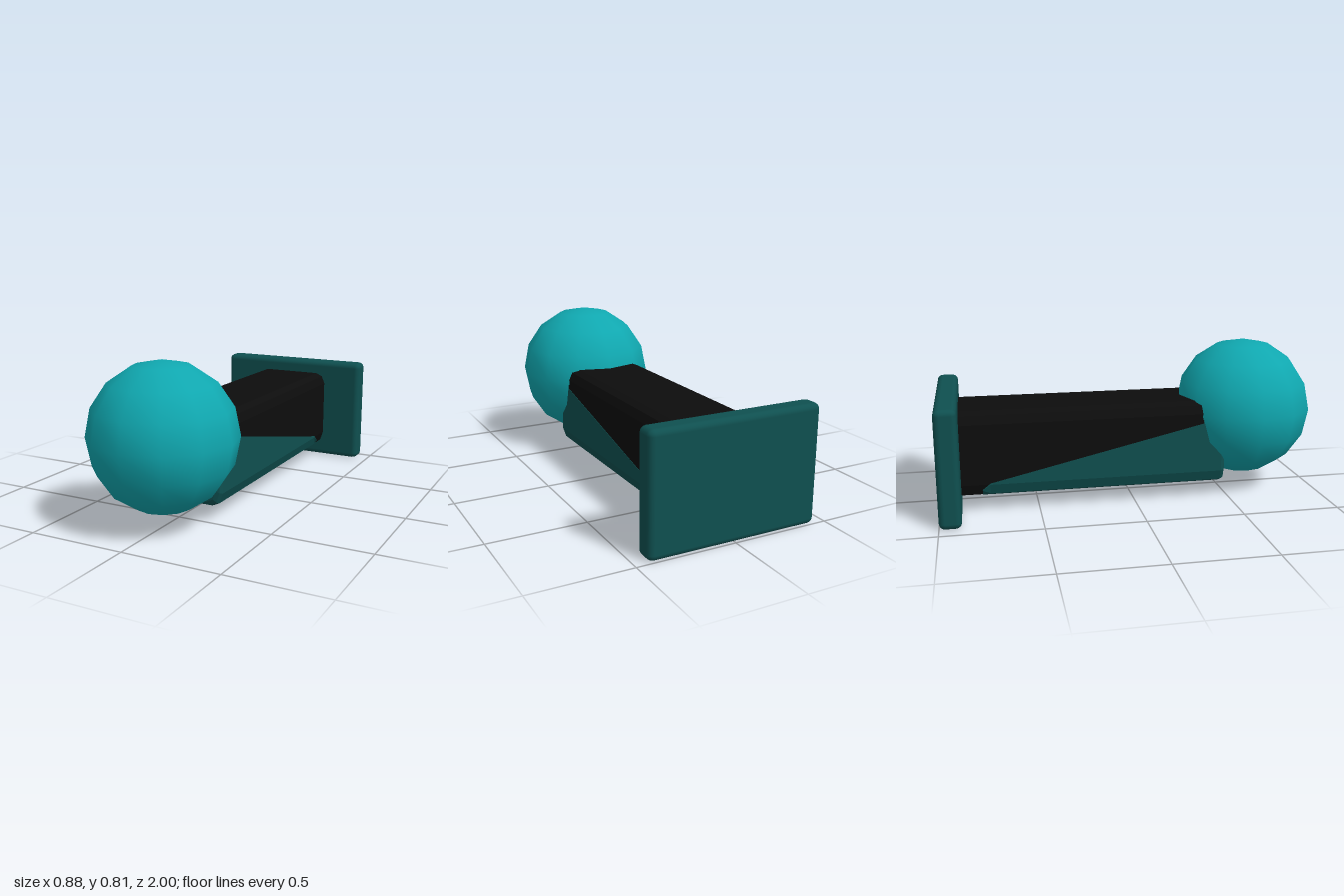
import * as THREE from 'three';
import { RoundedBoxGeometry } from 'three/addons/geometries/RoundedBoxGeometry.js';

const paint = (name, color) => Object.assign(new THREE.MeshStandardMaterial({ color }), { name });

// Right half of the bevelled beam section, bottom to top
const half = [[0.165, 0.077], [0.203, 0.094], [0.22, 0.145], [0.22, 0.455], [0.203, 0.498], [0.165, 0.515]];
const section = [...half, ...half.map(([x, y]) => [-x, y]).reverse()];

// Loft the section along z; each station is [z, height limit, inset], grow swells it slightly
function loft(stations, grow = 0) {
  const mid = 0.296, n = section.length, pos = [];
  const rings = stations.map(([z, top, inset = 0]) => section.map(([x, y]) => {
    const px = x * (1 + (grow - inset) / 0.22);
    const py = mid + (y - mid) * (1 + (grow - inset) / 0.219);
    return [px, Math.min(py, top), z];
  }));
  const tri = (...corners) => corners.forEach((c) => pos.push(...c));
  for (let s = 0; s < rings.length - 1; s++) {
    const r = rings[s], q = rings[s + 1];
    for (let i = 0; i < n; i++) {
      const j = (i + 1) % n;
      tri(r[i], r[j], q[j]);
      tri(r[i], q[j], q[i]);
    }
  }
  // End caps
  const back = rings[0], front = rings[rings.length - 1];
  for (let i = 1; i < n - 1; i++) {
    tri(back[0], back[i + 1], back[i]);
    tri(front[0], front[i], front[i + 1]);
  }
  const geo = new THREE.BufferGeometry();
  geo.setAttribute('position', new THREE.Float32BufferAttribute(pos, 3));
  geo.computeVertexNormals();
  return geo;
}

export function createModel() {
  const group = new THREE.Group();
  const teal = paint('bright teal', 0x10a8b0);
  const darkTeal = paint('dark teal', 0x0f5050);
  const black = paint('black', 0x0d0d0d);

  const add = (name, geo, mat, y = 0, z = 0) => {
    const mesh = new THREE.Mesh(geo, mat);
    mesh.name = name;
    mesh.position.set(0, y, z);
    group.add(mesh);
  };

  // Ball at the front
  add('ball', new THREE.SphereGeometry(0.366, 12, 8), teal, 0.443, 0.634);

  // Upright plate at the back
  add('endPlate', new RoundedBoxGeometry(0.88, 0.59, 0.11, 2, 0.03), darkTeal, 0.295, -0.945);

  // Straight beam joining plate and ball
  add('beam', loft([[-0.92, 1], [0.36, 1]]), black);

  // Tapered cradle wrapping the underside, rising to a full collar at the ball
  add('cradle', loft([
    [-0.785, 0.115], [-0.745, 0.15], [0.36, 0.405],
    [0.361, 0.514], [0.46, 0.514], [0.477, 0.51, 0.008], [0.485, 0.5, 0.025],
  ], 0.002), darkTeal);

  return group;
}
